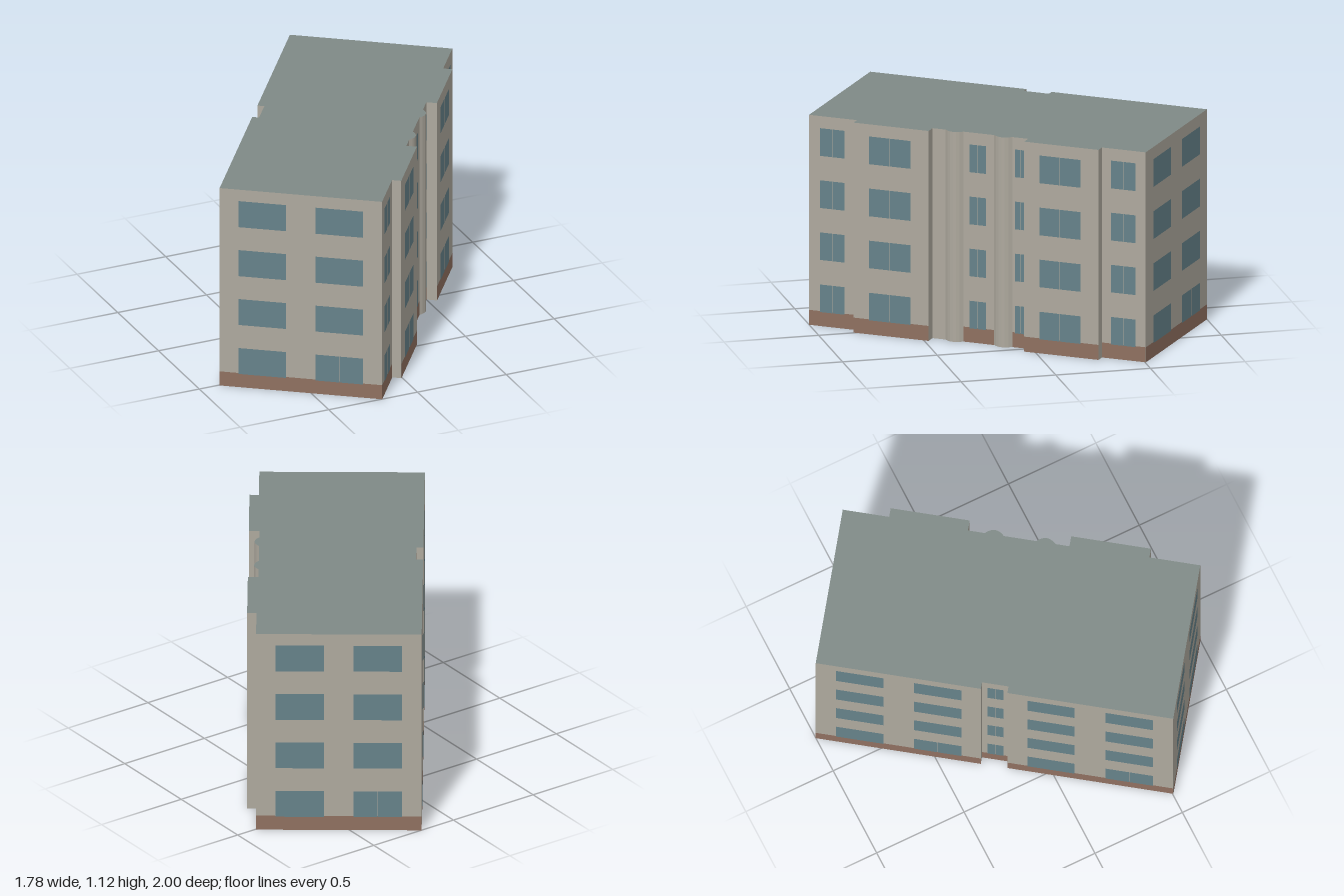
import * as THREE from 'three';

const H = 1.12, PLINTH = 0.08;
const HALF_L = 0.928, HALF_W = 0.424, WING = 0.472, ENTRY = 0.417, NOTCH = 0.388;
const FLOORS = [[0.075, 0.222], [0.353, 0.5], [0.63, 0.778], [0.908, 1.056]];

const paint = (color, side = THREE.FrontSide) => new THREE.MeshStandardMaterial({ color, side });

// Footprint corners, x along the block and z towards the entrance side
function footprint() {
  const pts = [[-HALF_L, HALF_W], [-0.664, HALF_W], [-0.664, WING], [-0.25, WING], [-0.25, ENTRY]];
  // Shallow curved columns beside the entrance
  for (const c of [-0.128, 0.14]) {
    for (let k = -3; k <= 3; k++) pts.push([c + (0.05 * k) / 3, ENTRY + 0.025 * (1 - (k * k) / 9)]);
  }
  pts.push([0.277, ENTRY], [0.277, WING], [0.687, WING], [0.687, HALF_W], [HALF_L, HALF_W],
    [HALF_L, -HALF_W], [0.071, -HALF_W], [0.071, -NOTCH], [-0.067, -NOTCH], [-0.067, -HALF_W],
    [-HALF_L, -HALF_W]);
  return pts;
}

export function createModel() {
  const model = new THREE.Group();
  model.name = 'apartmentBlock';
  const block = new THREE.Group();
  block.name = 'block';
  block.rotation.y = 0.945;
  model.add(block);

  const add = (name, geo, mat) => {
    const mesh = new THREE.Mesh(geo, mat);
    mesh.name = name;
    block.add(mesh);
    return mesh;
  };

  const wall = paint(0xaea99e, THREE.DoubleSide), roof = paint(0x7f8a86, THREE.DoubleSide);
  const glass = paint(0x66828a), brick = paint(0x8f7060);

  // Walls: an open shell round the footprint, without a floor
  const pts = footprint();
  const corners = [];
  pts.forEach(([ax, az], i) => {
    const [bx, bz] = pts[(i + 1) % pts.length];
    corners.push(ax, 0, az, bx, 0, bz, bx, H, bz, ax, 0, az, bx, H, bz, ax, H, az);
  });
  const shell = new THREE.BufferGeometry();
  shell.setAttribute('position', new THREE.Float32BufferAttribute(corners, 3));
  shell.computeVertexNormals();
  add('walls', shell, wall);

  // Flat roof
  const outline = new THREE.Shape(pts.map(([x, z]) => new THREE.Vector2(x, -z)));
  add('roof', new THREE.ShapeGeometry(outline).rotateX(-Math.PI / 2), roof).position.y = H;

  // Flat panel on a facade: a0..a1 run along it, d is its distance from the centre
  const turns = { front: 0, back: Math.PI, leftEnd: Math.PI / 2, rightEnd: -Math.PI / 2 };
  const panel = (name, mat, side, a0, a1, y0, y1, d) => {
    const mesh = add(name, new THREE.PlaneGeometry(a1 - a0, y1 - y0), mat);
    const a = (a0 + a1) / 2, y = (y0 + y1) / 2;
    if (side === 'front') mesh.position.set(a, y, d);
    if (side === 'back') mesh.position.set(a, y, -d);
    if (side === 'leftEnd') mesh.position.set(d, y, a);
    if (side === 'rightEnd') mesh.position.set(-d, y, a);
    mesh.rotation.y = turns[side];
  };

  // Brick plinth
  [
    ['front', -HALF_L, -0.664, HALF_W], ['front', -0.664, -0.25, WING], ['front', -0.078, 0.09, ENTRY],
    ['front', 0.19, 0.277, ENTRY], ['front', 0.277, 0.687, WING], ['front', 0.687, HALF_L, HALF_W],
    ['back', -HALF_L, -0.067, HALF_W], ['back', -0.067, 0.071, NOTCH], ['back', 0.071, HALF_L, HALF_W],
    ['leftEnd', -HALF_W, HALF_W, HALF_L], ['rightEnd', -HALF_W, HALF_W, HALF_L],
  ].forEach(([side, a0, a1, d]) => panel('plinth', brick, side, a0, a1, 0, PLINTH, d + 0.001));

  // Windows: side, centre, half width, wall distance, number of floors with a split pane
  const GAP = 0.003;
  [
    ['front', -0.8, 0.068, HALF_W, 4], ['front', 0.805, 0.068, HALF_W, 4],
    ['front', -0.464, 0.114, WING, 4], ['front', 0.475, 0.114, WING, 4],
    ['front', 0, 0.045, ENTRY, 4], ['front', 0.236, 0.031, ENTRY, 4],
    ['back', -0.7, 0.123, HALF_W, 1], ['back', -0.294, 0.123, HALF_W, 0],
    ['back', 0.294, 0.123, HALF_W, 1], ['back', 0.7, 0.123, HALF_W, 0],
    ['back', 0, 0.042, NOTCH, 4],
    ['leftEnd', -0.2, 0.124, HALF_L, 1], ['leftEnd', 0.2, 0.124, HALF_L, 0],
    ['rightEnd', -0.2, 0.124, HALF_L, 0], ['rightEnd', 0.2, 0.124, HALF_L, 1],
  ].forEach(([side, c, w, d, splitFloors]) => {
    FLOORS.forEach(([y0, y1], floor) => {
      const panes = floor < splitFloors
        ? [[c - w, c - GAP / 2], [c + GAP / 2, c + w]]
        : [[c - w, c + w]];
      panes.forEach(([a0, a1]) => panel('windowPane', glass, side, a0, a1, y0, y1, d + 0.002));
    });
  });
  return model;
}
